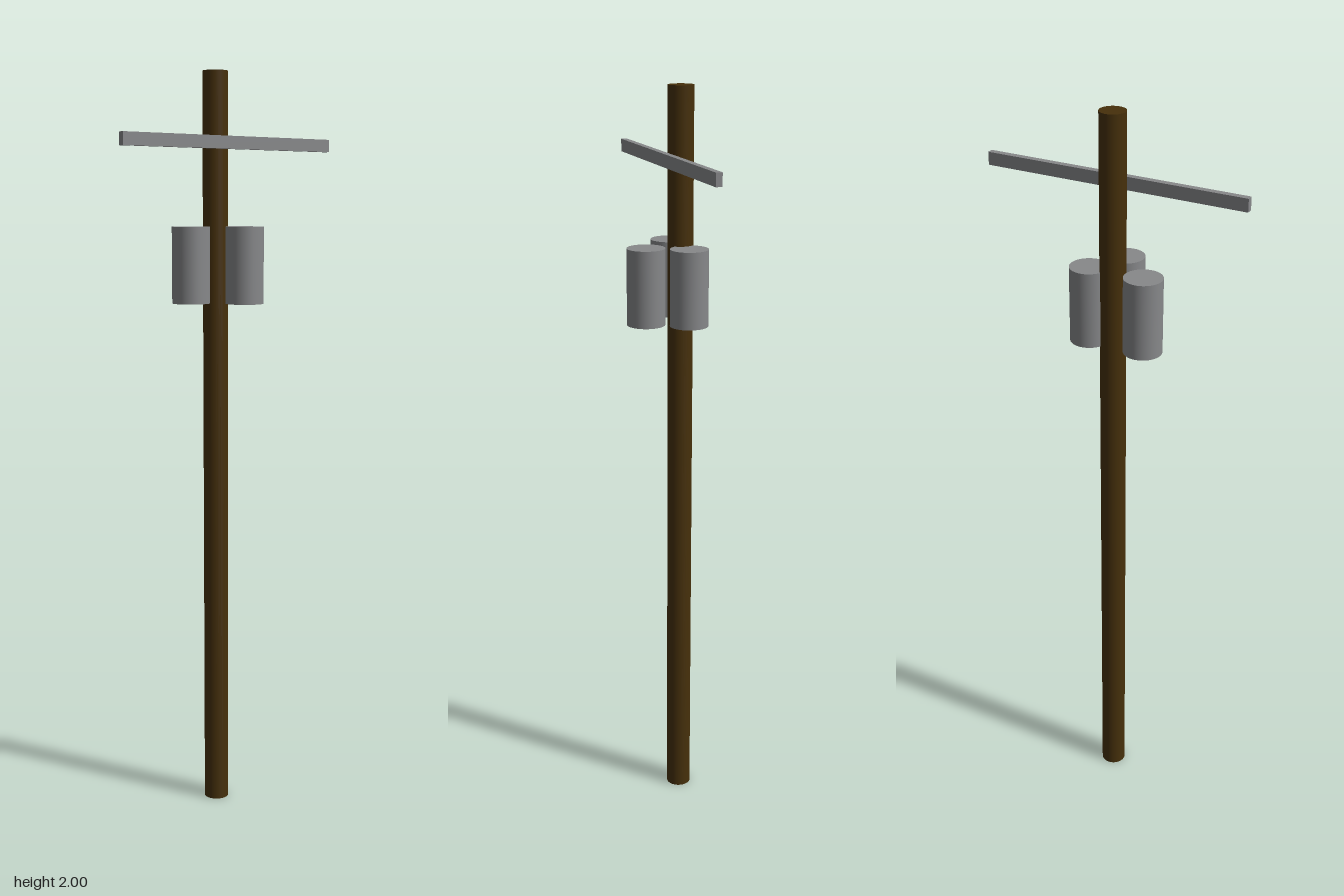
import * as THREE from 'three';

export function createModel() {
  const model = new THREE.Group();
  const wood = new THREE.MeshStandardMaterial({ color: 0x46300b });
  wood.name = 'dark wood';
  const metal = new THREE.MeshStandardMaterial({ color: 0x87888a });
  metal.name = 'grey metal';

  const add = (name, geometry, material, x, y, z) => {
    const mesh = new THREE.Mesh(geometry, material);
    mesh.name = name;
    mesh.position.set(x, y, z);
    model.add(mesh);
  };

  // Upright pole
  add('pole', new THREE.CylinderGeometry(0.0333, 0.0333, 2, 48), wood, -0.0167, 1, -0.05);

  // Thin crossarm fixed to the front of the pole
  add('crossarm', new THREE.BoxGeometry(0.7, 0.0333, 0.0167), metal, 0, 1.8167, -0.0083);

  // Three transformer cans grouped around the pole
  const can = new THREE.CylinderGeometry(0.05, 0.05, 0.2, 48);
  const cans = [['rightCan', -0.1, -0.05], ['leftCan', 0.05, -0.05], ['frontCan', 0, 0.05]];
  for (const [name, x, z] of cans) add(name, can, metal, x, 1.5, z);

  return model;
}
